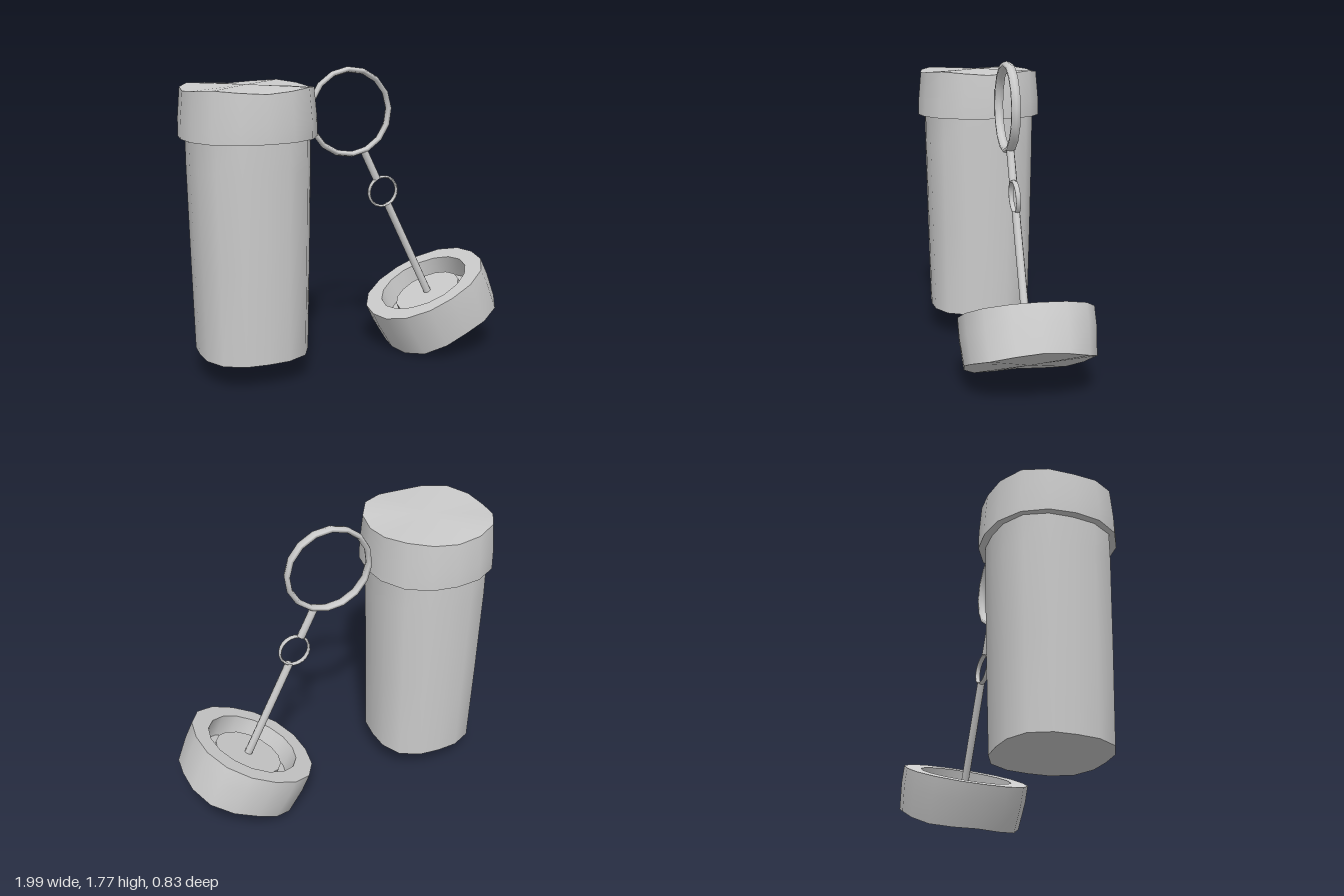
import * as THREE from 'three';
import { toCreasedNormals } from 'three/addons/utils/BufferGeometryUtils.js';

const SIDES = 16;
const material = new THREE.MeshStandardMaterial({ color: 0xcccccc });

// Rounded-square solid from sections [radius, y, squareness (2 = circle), edge wave], bottom to top
function loft(sections) {
  const pos = [], index = [];
  for (const [r, y, n = 2, wave = 0] of sections) {
    for (let i = 0; i < SIDES; i++) {
      const a = (i / SIDES) * Math.PI * 2;
      const c = Math.cos(a), s = Math.sin(a);
      const k = r / Math.pow(Math.abs(c) ** n + Math.abs(s) ** n, 1 / n);
      pos.push(k * c, y - wave * Math.cos(4 * a), k * s);
    }
  }
  for (let j = 0; j < sections.length - 1; j++) {
    for (let i = 0; i < SIDES; i++) {
      const a = j * SIDES + i, b = j * SIDES + (i + 1) % SIDES;
      const c = a + SIDES, d = b + SIDES;
      if (sections[j][0] > 0) index.push(a, c, b);
      if (sections[j + 1][0] > 0) index.push(b, c, d);
    }
  }
  // Pole triangles whose shared corner sits on the axis
  sections.forEach(([r], j) => {
    if (r > 0) return;
    for (let i = 0; i < SIDES; i++) {
      const n = (i + 1) % SIDES, o = j * SIDES;
      if (j === 0) index.push(o, o + SIDES + i, o + SIDES + n);
      else index.push(o - SIDES + i, o, o - SIDES + n);
    }
  });
  // Drop the zero-area and duplicate triangles left at the poles
  const seen = new Set(), clean = [];
  const p = (q) => new THREE.Vector3().fromArray(pos, q * 3);
  for (let t = 0; t < index.length; t += 3) {
    const tri = index.slice(t, t + 3), [A, B, C] = tri.map(p);
    const key = [A, B, C].map((v) => v.toArray().map((e) => (e + 0).toFixed(5).replace('-0.00000', '0.00000')).join()).sort().join('|');
    if (B.sub(A).cross(C.sub(A)).length() < 1e-9 || seen.has(key)) continue;
    seen.add(key);
    clean.push(...tri);
  }
  const g = new THREE.BufferGeometry();
  g.setAttribute('position', new THREE.Float32BufferAttribute(pos, 3));
  g.setIndex(clean);
  return toCreasedNormals(g, 0.75);
}

function add(parent, name, geometry, x = 0, y = 0, z = 0) {
  const mesh = new THREE.Mesh(geometry, material);
  mesh.name = name;
  mesh.position.set(x, y, z);
  parent.add(mesh);
  return mesh;
}

function rod(parent, name, y0, y1, x) {
  const g = toCreasedNormals(new THREE.CylinderGeometry(0.024, 0.024, y1 - y0, 8), 0.9);
  add(parent, name, g, x, (y0 + y1) / 2, 0);
}

export function createModel() {
  const model = new THREE.Group();
  model.name = 'bubbleBottleAndWand';

  // Bottle with its wide collar
  const bottle = new THREE.Group();
  bottle.name = 'bottle';
  bottle.position.set(-0.615, 0, 0.028);
  model.add(bottle);
  add(bottle, 'bottleBody', loft([
    [0, 0.165], [0.315, 0.165, 2.76], [0.327, 0.7, 2.76], [0.338, 1.25, 2.7], [0.34, 1.45, 2.6],
  ]));
  add(bottle, 'bottleCollar', loft([
    [0, 1.425], [0.385, 1.425, 2.3], [0.383, 1.53, 2.3], [0.368, 1.7, 2.3, 0.01], [0, 1.713],
  ]));

  // Tilted cap and wand; origin at the centre of the cap rim
  const wand = new THREE.Group();
  wand.name = 'capAndWand';
  wand.position.set(0.5425, 0.418, -0.03);
  wand.rotation.z = 0.45;
  model.add(wand);

  // Cap: closed end below, annular groove round a raised plug above
  add(wand, 'cap', loft([
    [0, -0.288], [0.367, -0.275, 2.3, -0.008], [0.382, -0.11, 2.3], [0.383, 0, 2.25],
    [0.285, 0], [0.28, -0.14], [0.215, -0.14], [0.212, -0.068], [0, -0.068],
  ]));

  // Stem in two lengths, joined by a small loop
  rod(wand, 'longStem', -0.075, 0.588, 0.001);
  rod(wand, 'shortStem', 0.765, 0.96, 0.004);

  const smallLoop = add(wand, 'smallLoop', new THREE.TorusGeometry(0.092, 0.008, 6, 20), 0.006, 0.673, 0);
  smallLoop.scale.z = 2;
  smallLoop.rotation.x = 0.06;

  const bigLoop = add(wand, 'bigLoop', new THREE.TorusGeometry(0.252, 0.017, 6, 16), 0.024, 1.213, 0);
  bigLoop.scale.z = 1.75;

  return model;
}
